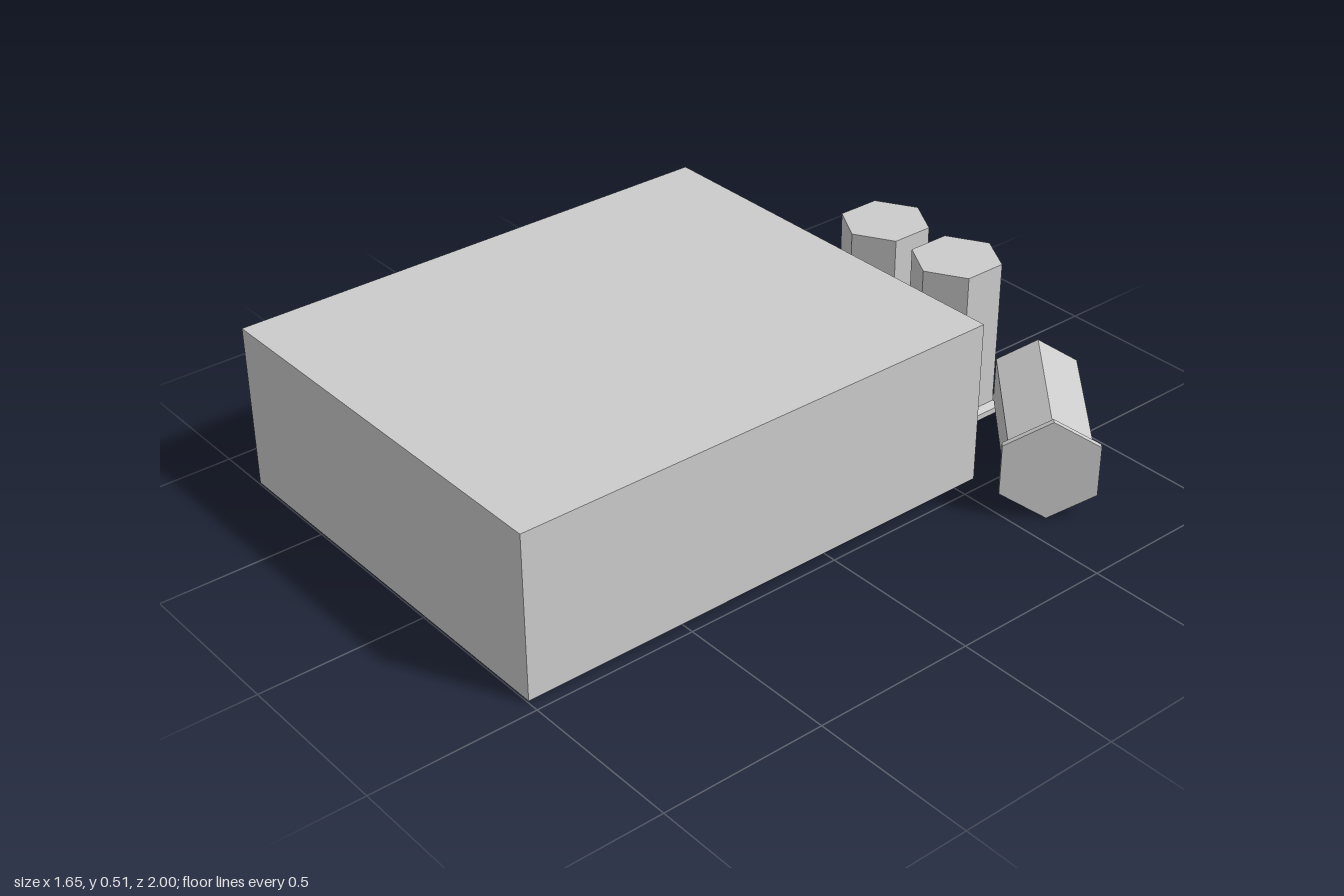
import * as THREE from 'three';

const material = new THREE.MeshStandardMaterial({ color: 0xcccccc, flatShading: true });

// Six-sided plug with a bevelled flange at its base; base centre at the origin
function hexPlugGeometry() {
  const profile = [
    [0, 0], [0.157, 0], [0.157, 0.018], [0.135, 0.032], [0.135, 0.49], [0, 0.49],
  ].map(([r, y]) => new THREE.Vector2(r, y));
  return new THREE.LatheGeometry(profile, 6);
}

export function createModel() {
  const model = new THREE.Group();
  model.name = 'blockWithHexPlugs';

  // Main block
  const block = new THREE.Mesh(new THREE.BoxGeometry(1.29, 0.505, 1.57), material);
  block.name = 'block';
  block.position.set(-0.18, 0.265, 0.215);
  model.add(block);

  // Two plugs standing behind the block
  const plugGeometry = hexPlugGeometry();
  [['standingPlugRight', -0.18], ['standingPlugLeft', 0.12]].forEach(([name, x]) => {
    const plug = new THREE.Mesh(plugGeometry, material);
    plug.name = name;
    plug.position.set(x, 0.015, -0.81);
    model.add(plug);
  });

  // Third plug lying down, flange towards the front left, one ridge upward
  const lying = new THREE.Mesh(plugGeometry, material);
  lying.name = 'lyingPlug';
  const axis = new THREE.Vector3(-0.365, 0, -0.325).normalize();
  const up = new THREE.Vector3(0, 1, 0);
  const side = new THREE.Vector3().crossVectors(axis, up);
  lying.quaternion.setFromRotationMatrix(new THREE.Matrix4().makeBasis(side, axis, up));
  lying.position.set(0.73, 0.163, -0.588);
  model.add(lying);

  return model;
}
